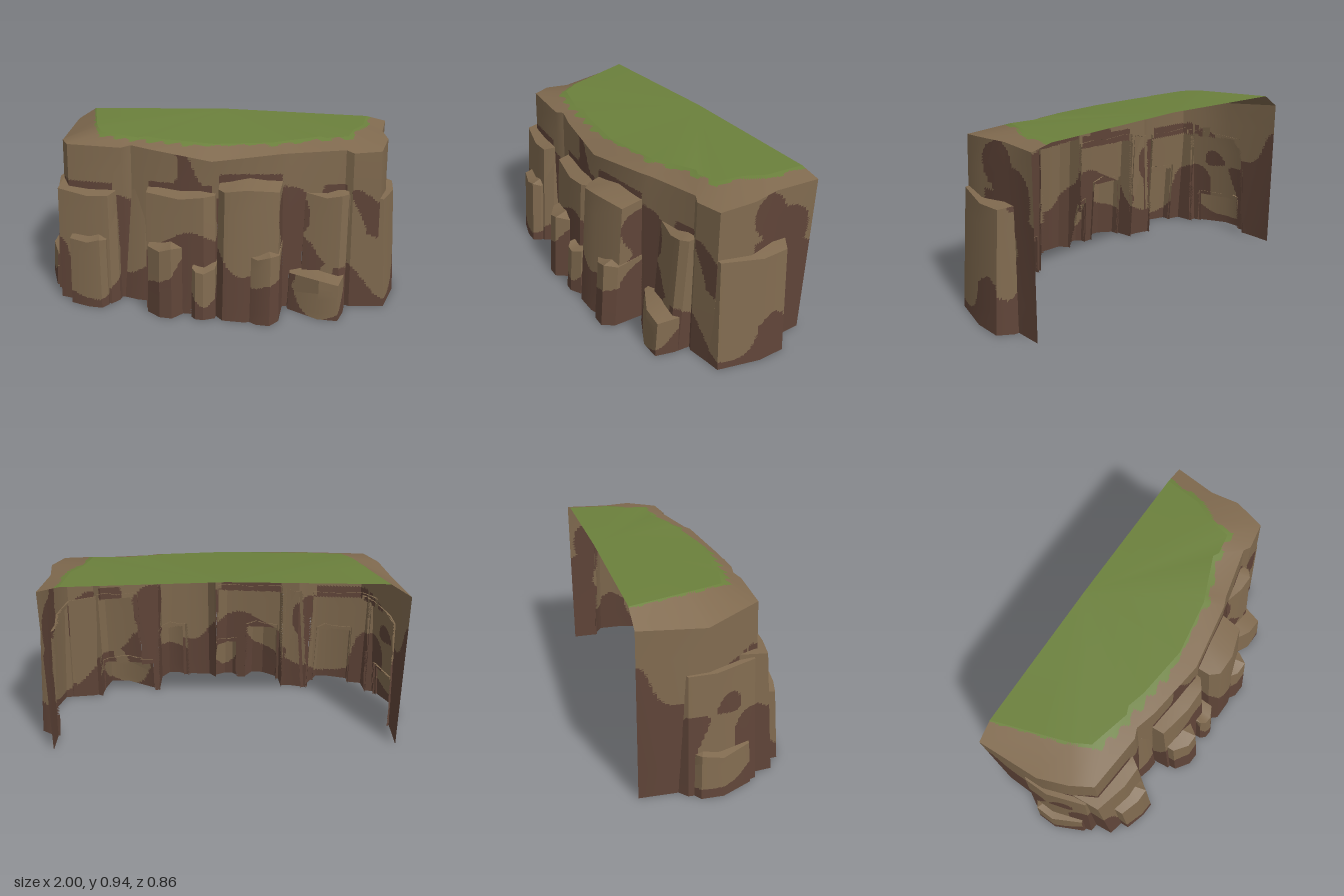
import * as THREE from 'three';
import { toCreasedNormals } from 'three/addons/utils/BufferGeometryUtils.js';

const material = (name, color) =>
  new THREE.MeshStandardMaterial({ name, color, side: THREE.DoubleSide });

const TAN = 0, BROWN = 1, GRASS = 2;
const ROWS = 6, STEP = 0.02, BACK = -0.43;
const lerp = THREE.MathUtils.lerp;

// Rim of the cliff wall from left back to right back: x, y, z
const RIM = [
  [-0.91, 0.85, BACK], [-0.9, 0.82, -0.1], [-0.85, 0.86, 0.06], [-0.79, 0.87, 0.17],
  [-0.49, 0.87, 0.2], [-0.44, 0.88, 0.18], [-0.33, 0.87, 0.21], [0, 0.83, 0.25],
  [0.35, 0.87, 0.2], [0.4, 0.87, 0.18], [0.68, 0.88, 0.12], [0.72, 0.87, 0.14],
  [0.86, 0.88, 0.12], [0.9, 0.9, -0.05], [0.88, 0.9, -0.2], [0.91, 0.9, BACK],
];

// Rock blocks: name, facing in degrees, place along the wall, reach, width, height, corner depth
const BLOCKS = [
  ['leftFootRock', -90, -0.04, 1, 0.34, 0.21, 0.07],
  ['leftSideSlab', -90, -0.05, 0.965, 0.44, 0.61, 0.06],
  ['leftColumn', 0, -0.685, 0.3, 0.37, 0.62, 0.05],
  ['leftFrontRock', 0, -0.67, 0.355, 0.23, 0.38, 0.04],
  ['narrowColumn', 0, -0.43, 0.24, 0.17, 0.65, 0.03],
  ['centreLeftColumn', 0, -0.16, 0.36, 0.42, 0.65, 0.04],
  ['centreLeftRock', 0, -0.24, 0.42, 0.21, 0.38, 0.06],
  ['smallCentreRock', 0, -0.03, 0.415, 0.14, 0.27, 0.03],
  ['centreRightColumn', 0, 0.2, 0.41, 0.36, 0.71, 0.05],
  ['centreRightRock', 0, 0.27, 0.43, 0.22, 0.37, 0.06],
  ['rightColumn', 0, 0.595, 0.24, 0.26, 0.65, 0.03],
  ['rightFootRock', 0, 0.56, 0.33, 0.33, 0.21, 0.1],
  ['rightSideSlab', 90, 0.08, 1, 0.46, 0.61, 0.07],
];

// Local colour patches: x, y, z, radius, strength (positive is tan)
const PATCHES = [
  [0.9, 0.22, 0.06, 0.24, 1.2], [0.96, 0.45, -0.1, 0.24, 1], [0.89, 0.8, -0.15, 0.12, -1.5],
  [0.9, 0.7, -0.32, 0.14, -1.2], [0.4, 0.55, 0.2, 0.16, -1.5], [0.4, 0.3, 0.2, 0.16, -1],
  [-0.67, 0.2, 0.35, 0.22, 1.2], [-0.84, 0.25, 0.15, 0.16, -1], [0.57, 0.14, 0.3, 0.16, 0.6],
  [-0.3, 0.76, 0.22, 0.16, 0.8],
];

// Soft blotch pattern in space plus the local patches
function blotch(p) {
  const a = Math.sin(p.x * 13 + Math.sin(p.y * 9 + 1) * 1.3);
  const b = Math.sin(p.y * 11 - p.z * 12 + Math.sin(p.x * 8) * 1.4);
  const c = Math.sin(p.z * 13 + p.x * 5 + p.y * 4);
  return PATCHES.reduce((sum, [x, y, z, radius, strength]) =>
    sum + strength * Math.max(0, 1 - Math.hypot(p.x - x, p.y - y, p.z - z) / radius),
  0.38 * (a + b + c) / 2.4);
}

// A solid is a bottom ring and a top ring, both open at the back
function wallSolid() {
  const top = RIM.map(p => new THREE.Vector3(...p));
  const bottom = top.map(p => p.z === BACK ? new THREE.Vector3(p.x, 0, BACK)
    : new THREE.Vector3(p.x * 1.03, 0, p.z + 0.015));
  return { name: 'cliffWall', tanFrom: 0.62, bottom, top };
}

function blockSolid([name, facing, place, reach, width, height, corner]) {
  const h = THREE.MathUtils.degToRad(facing);
  const at = (side, out, y) => new THREE.Vector3(
    Math.cos(h) * side + Math.sin(h) * out, y, Math.cos(h) * out - Math.sin(h) * side);
  const skew = 0.2 * Math.sin(place * 25);
  // Across the width, and back from the front
  const plan = [[-0.5, 0.25], [-0.46, corner], [skew - 0.16, 0.005], [skew + 0.16, 0], [0.45, corner], [0.5, 0.25]];
  const lean = 0.07 * height;
  return {
    name,
    tanFrom: height > 0.5 ? 0.5 : 0.4,
    bottom: plan.map(([u, back]) => at(place + u * width, reach - back, 0)),
    top: plan.map(([u, back], i) => at(place + u * width * 0.95, reach - back - lean,
      back > 0.2 ? height + 0.035 : height + 0.012 * Math.sin(i * 2.1 + height * 20))),
    root: at(place, reach - 0.25 - lean, height + 0.05),
  };
}

// Is a point inside the solid?
function contains(solid, p) {
  const low = Math.min(...solid.top.map(t => t.y));
  if (p.y > low) return false;
  const ring = solid.bottom.map((b, i) => b.clone().lerp(solid.top[i], p.y / low));
  let inside = false;
  ring.forEach((a, i) => {
    const b = ring[(i + 1) % ring.length];
    if ((a.z > p.z) !== (b.z > p.z) &&
        p.x < (b.x - a.x) * (p.z - a.z) / (b.z - a.z) + a.x) inside = !inside;
  });
  return inside;
}

// Height of the lawn border, lower towards the front
const lawnHeight = (x, z) => 0.919 - 0.16 * Math.max(0, z) + (x > 0.6 ? 0.005 : 0);

// Inner border of the rim, where the lawn begins
function grassEdge(rim) {
  const t = rim.z < -0.1 ? 0.12 : Math.abs(rim.x) > 0.6 ? 0.2 : 0.15;
  const x = rim.x * (1 - t), z = lerp(rim.z, BACK, t);
  return new THREE.Vector3(x, lawnHeight(x, z), z);
}

function trianglesToGeometry(corners) {
  const geometry = new THREE.BufferGeometry().setFromPoints(corners);
  return toCreasedNormals(geometry, 0.5);
}

// Coarse shell of a solid: sides in rows, then a sloping cap
function shell({ bottom, top, root }) {
  const corners = [];
  const at = (k, r) => bottom[k].clone().lerp(top[k], r / ROWS);
  for (let i = 0; i < top.length - 1; i++) {
    for (let r = 0; r < ROWS; r++) {
      const a = at(i, r), b = at(i + 1, r), c = at(i + 1, r + 1), d = at(i, r + 1);
      corners.push(a, b, c, a, c, d);
    }
    if (root) corners.push(top[i], top[i + 1], root);
    else {
      const a = grassEdge(top[i]), b = grassEdge(top[i + 1]);
      corners.push(top[i], top[i + 1], b, top[i], b, a);
    }
  }
  return trianglesToGeometry(corners);
}

// Cut the shell into small faces, drop buried ones and sort the rest by colour
function paint(geometry, colourOf, materials) {
  const { position, normal } = geometry.attributes;
  const bins = materials.map(() => ({ points: [], normals: [] }));
  const read = (attribute, t) => [0, 1, 2].map(k => new THREE.Vector3().fromBufferAttribute(attribute, t + k));
  for (let t = 0; t < position.count; t += 3) {
    const P = read(position, t), N = read(normal, t);
    const longest = Math.max(P[0].distanceTo(P[1]), P[1].distanceTo(P[2]), P[2].distanceTo(P[0]));
    const n = Math.max(1, Math.ceil(longest / STEP));
    const mix = (V, i, j) => V[0].clone().multiplyScalar((n - i - j) / n)
      .addScaledVector(V[1], i / n).addScaledVector(V[2], j / n);
    const face = (...ij) => {
      const corners = ij.map(([i, j]) => mix(P, i, j));
      const middle = corners[0].clone().add(corners[1]).add(corners[2]).divideScalar(3);
      const colour = colourOf(middle, N[0].y);
      if (colour < 0) return;
      bins[colour].points.push(...corners);
      bins[colour].normals.push(...ij.map(([i, j]) => mix(N, i, j).normalize()));
    };
    for (let i = 0; i < n; i++) for (let j = 0; j < n - i; j++) {
      face([i, j], [i + 1, j], [i, j + 1]);
      if (i + j < n - 1) face([i + 1, j], [i + 1, j + 1], [i, j + 1]);
    }
  }
  const painted = new THREE.BufferGeometry().setFromPoints(bins.flatMap(b => b.points));
  const normals = bins.flatMap(b => b.normals).flatMap(v => v.toArray());
  painted.setAttribute('normal', new THREE.Float32BufferAttribute(normals, 3));
  let start = 0;
  bins.forEach(({ points }, k) => {
    if (points.length) painted.addGroup(start, points.length, k);
    start += points.length;
  });
  return new THREE.Mesh(painted, materials);
}

export function createModel() {
  const model = new THREE.Group();
  model.name = 'cliff';
  const materials = [material('tanRock', 0x806a4f), material('brownRock', 0x5f4438), material('grass', 0x6b803c)];
  const solids = [wallSolid(), ...BLOCKS.map(blockSolid)];

  // Wall and rock blocks, with dark crevices above each ledge
  for (const solid of solids) {
    const height = Math.max(...solid.top.map(t => t.y));
    const mesh = paint(shell(solid), (p, ny) => {
      const out = new THREE.Vector3(p.x - THREE.MathUtils.clamp(p.x, -0.6, 0.6), 0, p.z + 0.2).normalize();
      const within = (forward, up) => {
        const probe = p.clone().addScaledVector(out, forward);
        probe.y += up;
        return solids.some(s => s !== solid && contains(s, probe));
      };
      if (within(0.012, 0.01)) return -1;
      if (!solid.root && p.y > lawnHeight(p.x, p.z) - 0.005 + 0.002 * Math.sin(p.x * 60 + p.z * 45)) return GRASS;
      if (ny > 0.6) return TAN;
      if (!solid.root && within(0.04, -0.06)) return BROWN;
      return p.y / height - solid.tanFrom + blotch(p) > 0 ? TAN : BROWN;
    }, materials);
    mesh.name = solid.name;
    model.add(mesh);
  }

  // Grass top, a shallow fan rising to the middle of the back
  const edge = solids[0].top.map(grassEdge);
  const peak = new THREE.Vector3(0, 0.94, BACK);
  const lawn = new THREE.Mesh(
    trianglesToGeometry(edge.slice(1).flatMap((p, i) => [edge[i], p, peak])), materials[GRASS]);
  lawn.name = 'grassTop';
  model.add(lawn);
  return model;
}
